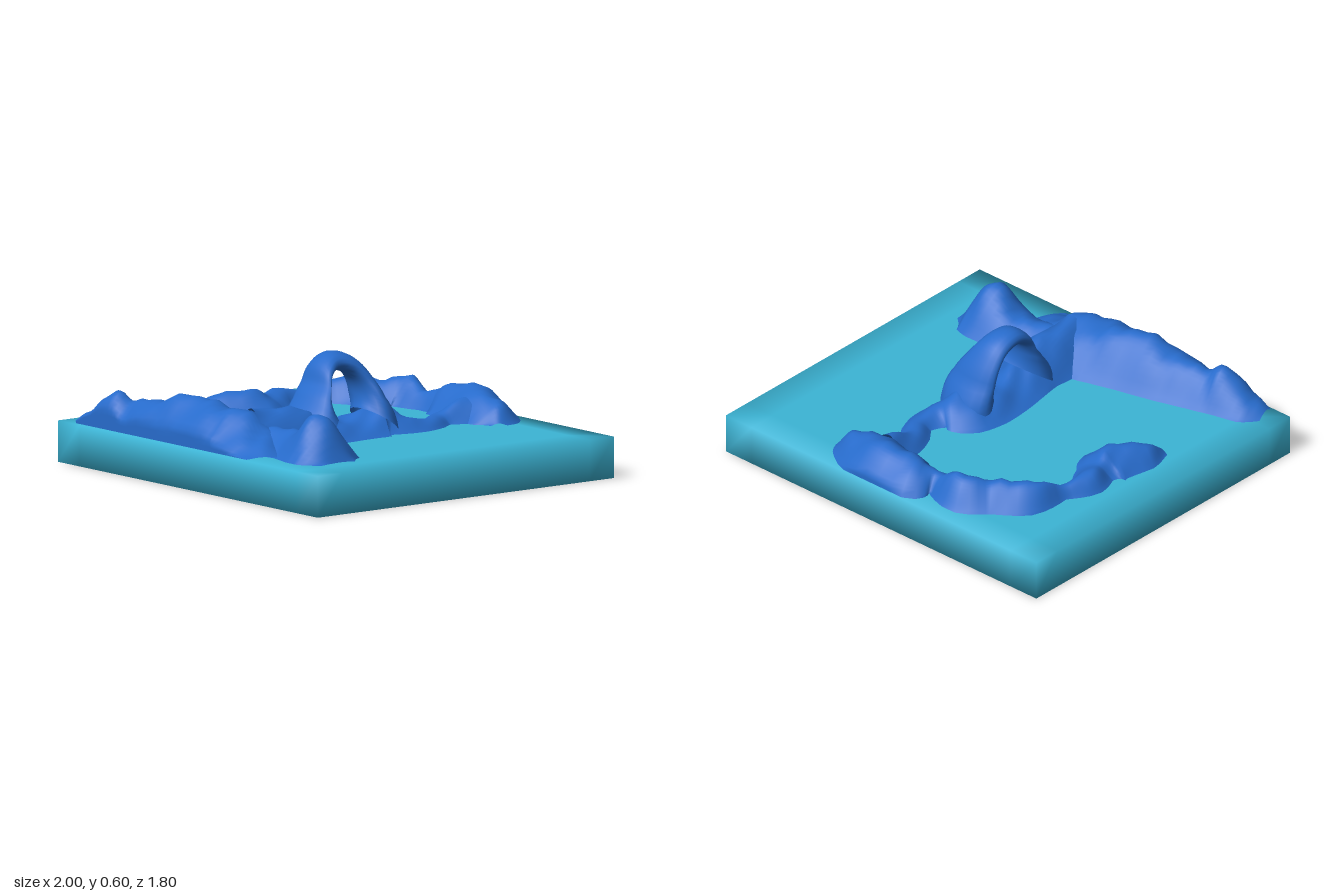
import * as THREE from 'three';
import { mergeVertices } from 'three/addons/utils/BufferGeometryUtils.js';

const GROUND = 0.2;

// Smooth surface through rows of points: rows follow the form, columns cross it
function gridGeometry(rows) {
  const n = rows[0].length, index = [];
  for (let i = 0; i < rows.length - 1; i++) {
    for (let j = 0; j < n - 1; j++) {
      const a = i * n + j, b = a + n;
      index.push(a, a + 1, b, a + 1, b + 1, b);
    }
  }
  const g = new THREE.BufferGeometry().setFromPoints(rows.flat());
  g.setIndex(index);
  const merged = mergeVertices(g, 1e-4);
  merged.computeVertexNormals();
  return merged;
}

// Small lumps in the rock
const bumps = (x, z) =>
  0.014 * Math.sin(23 * x + 5 * z) * Math.cos(19 * z - 4 * x) + 0.007 * Math.sin(47 * x - 31 * z);

// Ridge along a crest line of [x, z, half width, height]; cut off straight near the slab's edges
function ridgeGeometry(stations) {
  const crest = new THREE.CatmullRomCurve3(
    stations.map(([x, z, , h]) => new THREE.Vector3(x, h, z)), false, 'centripetal');
  const spans = stations.length - 1, steps = spans * 4, across = 20, rows = [];
  for (let i = 0; i <= steps; i++) {
    const t = i / steps, k = Math.min(Math.floor(t * spans), spans - 1);
    const half = THREE.MathUtils.lerp(stations[k][2], stations[k + 1][2], t * spans - k);
    const c = crest.getPoint(t), side = crest.getTangent(t).setY(0).normalize();
    side.set(-side.z, 0, side.x);
    const row = [];
    for (let j = 0; j <= across; j++) {
      const u = (j / across) * 2 - 1;
      const s = Math.pow(Math.cos((u * Math.PI) / 2), 1.15) || 0;
      const x = c.x + side.x * half * u, z = c.z + side.z * half * u;
      const y = GROUND + s * (c.y + bumps(x, z) * Math.min(1, c.y / 0.1));
      row.push(new THREE.Vector3(x, y, THREE.MathUtils.clamp(z, -0.89, 0.88)));
    }
    rows.push(row);
  }
  return gridGeometry(rows);
}

// Arch round a hole seen from the side; stations of [outer radius, right edge x], front foot to back foot
function archGeometry(stations) {
  const line = new THREE.CatmullRomCurve3(stations.map(([r, x]) => new THREE.Vector3(r, x, 0)));
  const hole = 0.115, steep = 0.025, steps = 40, around = 16, rows = [];
  for (let i = 0; i <= steps; i++) {
    const { x: outer, y: edge } = line.getPoint(i / steps);
    const angle = THREE.MathUtils.degToRad(125 * (1 - (2 * i) / steps));
    const row = [];
    for (let j = 0; j <= around; j++) {
      const q = (j / around) * Math.PI * 2, c = Math.cos(q);
      const r = (hole + outer) / 2 + ((outer - hole) / 2) * c;
      const x = (steep + edge) / 2 + ((edge - steep) / 2) * (Math.sin(q) - 0.15 * c);
      row.push(new THREE.Vector3(x, 0.395 + r * Math.cos(angle), 0.11 + r * Math.sin(angle)));
    }
    rows.push(row);
  }
  return gridGeometry(rows);
}

export function createModel() {
  const group = new THREE.Group();
  const water = new THREE.MeshStandardMaterial({ color: 0x3cb5d6 });
  water.name = 'water';
  const rock = new THREE.MeshStandardMaterial({ color: 0x276bcb, side: THREE.DoubleSide });
  rock.name = 'rock';
  const add = (name, geometry, material) => {
    const mesh = new THREE.Mesh(geometry, material);
    mesh.name = name;
    group.add(mesh);
  };

  // Water slab, softly shaded across its edges
  let slab = new THREE.BoxGeometry(2, GROUND, 1.8, 12, 1, 12);
  slab.deleteAttribute('normal');
  slab.deleteAttribute('uv');
  slab = mergeVertices(slab);
  slab.computeVertexNormals();
  slab.translate(0, GROUND / 2, 0);
  add('waterSlab', slab, water);

  // Long ridge along the front, rising towards the middle
  add('frontRidge', ridgeGeometry([
    [-0.9, 0.84, 0.07, 0.02],
    [-0.82, 0.82, 0.13, 0.08],
    [-0.66, 0.8, 0.15, 0.17],
    [-0.56, 0.78, 0.16, 0.14],
    [-0.4, 0.76, 0.19, 0.17],
    [-0.2, 0.73, 0.21, 0.21],
    [0, 0.71, 0.25, 0.19],
    [0.16, 0.69, 0.26, 0.18],
    [0.33, 0.73, 0.2, 0.09],
    [0.47, 0.8, 0.1, 0.01],
  ]), rock);

  // Hill at the right end of the front
  add('sideHill', ridgeGeometry([
    [0.16, 0.62, 0.19, 0.14],
    [0.34, 0.6, 0.17, 0.1],
    [0.46, 0.58, 0.17, 0.12],
    [0.62, 0.59, 0.19, 0.21],
    [0.7, 0.6, 0.18, 0.15],
    [0.78, 0.6, 0.1, 0.005],
  ]), rock);

  // Spine running back under the arch
  add('spine', ridgeGeometry([
    [0.17, 0.66, 0.19, 0.18],
    [0.18, 0.36, 0.17, 0.165],
    [0.17, 0.22, 0.18, 0.1],
    [0.155, 0.1, 0.185, 0.075],
    [0.15, -0.04, 0.19, 0.1],
    [0.165, -0.14, 0.18, 0.12],
    [0.24, -0.24, 0.1, 0.07],
    [0.25, -0.36, 0.07, 0.045],
    [0.18, -0.48, 0.075, 0.06],
    [0.19, -0.64, 0.12, 0.1],
  ]), rock);

  // Headland at the back, curling round the left of the bay
  add('bayRidge', ridgeGeometry([
    [0.42, -0.66, 0.04, 0.01],
    [0.36, -0.69, 0.12, 0.08],
    [0.16, -0.74, 0.19, 0.145],
    [-0.09, -0.745, 0.16, 0.12],
    [-0.18, -0.7, 0.075, 0.09],
    [-0.36, -0.7, 0.13, 0.13],
    [-0.46, -0.62, 0.13, 0.1],
    [-0.6, -0.52, 0.12, 0.11],
    [-0.67, -0.36, 0.05, 0.06],
    [-0.71, -0.22, 0.09, 0.08],
    [-0.67, -0.12, 0.1, 0.06],
    [-0.66, -0.04, 0.15, 0.09],
    [-0.73, 0.15, 0.11, 0.08],
    [-0.76, 0.26, 0.04, 0.01],
  ]), rock);

  // Rock arch standing over the spine
  add('rockArch', archGeometry([
    [0.37, 0.35],
    [0.2, 0.29],
    [0.15, 0.25],
    [0.18, 0.21],
    [0.205, 0.18],
    [0.205, 0.2],
    [0.2, 0.24],
    [0.23, 0.29],
    [0.37, 0.34],
  ]), rock);

  return group;
}
